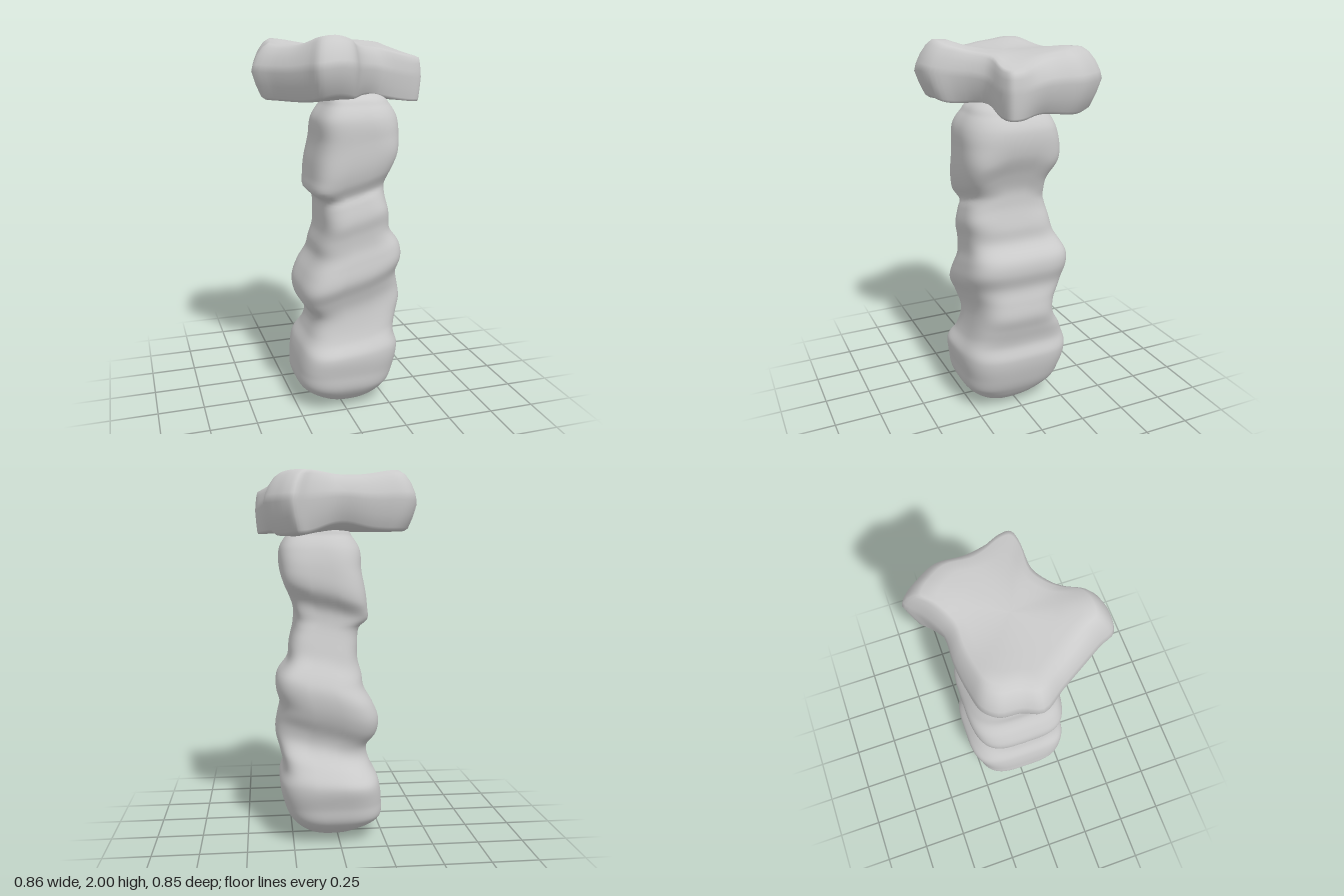
import * as THREE from 'three';

const { lerp, clamp, smoothstep } = THREE.MathUtils;
const stone = new THREE.MeshStandardMaterial({ color: 0xcccccc, roughness: 0.9 });

// Skin a stack of closed rings (bottom to top) with shared vertices for smooth normals
function loft(name, rings) {
  const n = rings[0].length, index = [];
  for (let r = 0; r < rings.length - 1; r++) {
    for (let i = 0; i < n; i++) {
      const a = r * n + i, b = r * n + (i + 1) % n;
      index.push(a, a + n, b, b, a + n, b + n);
    }
  }
  const geo = new THREE.BufferGeometry();
  geo.setAttribute('position', new THREE.Float32BufferAttribute(rings.flat(2), 3));
  geo.setIndex(index);
  geo.computeVertexNormals();
  const mesh = new THREE.Mesh(geo, stone);
  mesh.name = name;
  return mesh;
}

// Shaft profile rows: y, xMin, xMax, zMin, zMax
const PROFILE = [
  [0, 0.03, 0.03, 0.03, 0.03], [0.008, -0.05, 0.10, -0.04, 0.11],
  [0.03, -0.12, 0.18, -0.11, 0.19],
  [0.12, -0.23, 0.26, -0.23, 0.28], [0.22, -0.24, 0.30, -0.26, 0.30],
  [0.34, -0.22, 0.32, -0.285, 0.31], [0.42, -0.18, 0.30, -0.25, 0.27],
  [0.52, -0.16, 0.32, -0.19, 0.245], [0.60, -0.21, 0.34, -0.195, 0.24],
  [0.68, -0.22, 0.33, -0.235, 0.26], [0.76, -0.19, 0.315, -0.26, 0.29],
  [0.85, -0.14, 0.335, -0.265, 0.28], [0.92, -0.13, 0.325, -0.24, 0.265],
  [1.00, -0.11, 0.27, -0.20, 0.265], [1.08, -0.11, 0.26, -0.18, 0.275],
  [1.17, -0.12, 0.24, -0.16, 0.255], [1.21, -0.165, 0.235, -0.155, 0.24],
  [1.28, -0.16, 0.235, -0.16, 0.27], [1.36, -0.15, 0.26, -0.21, 0.285],
  [1.47, -0.13, 0.305, -0.215, 0.285], [1.58, -0.125, 0.31, -0.195, 0.28],
  [1.65, -0.085, 0.275, -0.16, 0.245], [1.71, -0.03, 0.21, -0.11, 0.18],
  [1.73, 0.09, 0.09, 0.04, 0.04],
];

// Smooth (Hermite) lookup of one profile column
function profileAt(y, column) {
  const last = PROFILE.length - 1;
  let i = 0;
  while (i < last - 1 && PROFILE[i + 1][0] < y) i++;
  const tangent = k => {
    const a = PROFILE[Math.max(k - 1, 0)], b = PROFILE[Math.min(k + 1, last)];
    return (b[column] - a[column]) / (b[0] - a[0]);
  };
  const p = PROFILE[i], q = PROFILE[i + 1], h = q[0] - p[0];
  const t = clamp((y - p[0]) / h, 0, 1), s = 1 - t;
  return p[column] * s * s * (1 + 2 * t) + q[column] * t * t * (3 - 2 * t)
    + h * t * s * (tangent(i) * s - tangent(i + 1) * t);
}

// Knobbly shaft: rounded-square sections whose front and back bulges slope across
function buildShaft() {
  const rings = [], rows = 150, sides = 72;
  for (let r = 0; r <= rows; r++) {
    // rows crowd together towards both ends
    const t = r / rows, y = 1.73 * lerp(t, t * t * (3 - 2 * t), 0.8);
    const middle = smoothstep(y, 0.25, 0.5) * (1 - smoothstep(y, 1.4, 1.58));
    const slope = 0.3 * middle;
    const arch = 0.1 * smoothstep(y, 1.1, 1.25) * (1 - smoothstep(y, 1.4, 1.55));
    // one diagonal pair of corners is worn rounder, most of all near the top
    const square = lerp(2.5, 4, smoothstep(y, 0, 0.25));
    const worn = Math.min(square, lerp(3.4, 2.4, smoothstep(y, 1.4, 1.62)));
    const ring = [];
    for (let i = 0; i < sides; i++) {
      const a = i / sides * Math.PI * 2, c = Math.cos(a), s = Math.sin(a);
      const power = 2 / (c * s > 0 ? worn : square);
      const u = Math.sign(c) * Math.abs(c) ** power, v = Math.sign(s) * Math.abs(s) ** power;
      const x = lerp(profileAt(y, 1), profileAt(y + arch * v * v, 2), (1 + u) / 2);
      const yz = y - slope * (x - 0.08);
      ring.push([x, y, lerp(profileAt(yz, 3), profileAt(yz, 4), (1 + v) / 2)]);
    }
    rings.push(ring);
  }
  return loft('shaft', rings);
}

// Plan outline of the capstone: x, z
const OUTLINE = [
  [0.25, -0.425], [0.29, -0.4], [0.33, -0.35], [0.385, -0.25], [0.385, -0.1], [0.405, 0],
  [0.428, 0.09], [0.425, 0.15], [0.36, 0.175], [0.21, 0.18], [0.12, 0.23], [0.05, 0.3],
  [-0.01, 0.39], [-0.09, 0.42], [-0.19, 0.41], [-0.23, 0.33], [-0.3, 0.21], [-0.36, 0.11],
  [-0.43, 0], [-0.4, -0.09], [-0.39, -0.19], [-0.34, -0.25], [-0.25, -0.275],
  [-0.1, -0.295], [0.03, -0.295], [0.115, -0.33], [0.18, -0.37],
];

// Capstone section: inset scale and height between underside (0) and top (1)
const EDGE = [
  [0, 0], [0.4, 0], [0.7, 0], [0.84, 0.01], [0.89, 0.06], [0.95, 0.27], [1, 0.52],
  [0.98, 0.65], [0.93, 0.81], [0.86, 0.94], [0.79, 1], [0.65, 1], [0.45, 1], [0.2, 1], [0, 1],
];

const mound = (x, z, cx, cz, size) => Math.exp(-((x - cx) ** 2 + (z - cz) ** 2) / (size * size));
const topHeight = (x, z) => 1.945 + 0.055 * mound(x, z, -0.1, 0.31, 0.13)
  + 0.035 * mound(x, z, -0.3, -0.18, 0.16) + 0.025 * mound(x, z, 0.2, -0.25, 0.15)
  - 0.05 * mound(x, z, 0.38, 0.13, 0.15);
const baseHeight = (x, z) => 1.675 + 0.045 * mound(x, z, -0.08, 0.42, 0.14)
  + 0.03 * mound(x, z, 0.12, 0.2, 0.12) + 0.045 * mound(x, z, 0, -0.3, 0.12)
  - 0.03 * mound(x, z, 0.27, -0.27, 0.18) - 0.015 * mound(x, z, 0.4, 0.12, 0.12);

// Lobed slab resting on the shaft; its front corner at +x is cut square
function buildCapstone() {
  const curve = new THREE.CatmullRomCurve3(
    OUTLINE.map(([x, z]) => new THREE.Vector3(x, 0, z)), true, 'centripetal');
  const plan = curve.getPoints(108).slice(0, -1);
  const rings = EDGE.map(([s, h]) => plan.map(p => {
    const square = 0.8 * mound(p.x, p.z, 0.43, 0.13, 0.13) * smoothstep(s, 0.7, 0.84);
    const k = lerp(s, 1, square), x = p.x * k, z = p.z * k;
    return [x, lerp(baseHeight(x, z), topHeight(x, z), h), z];
  }));
  return loft('capstone', rings);
}

export function createModel() {
  const model = new THREE.Group();
  model.name = 'stonePillar';
  model.add(buildShaft(), buildCapstone());
  return model;
}
